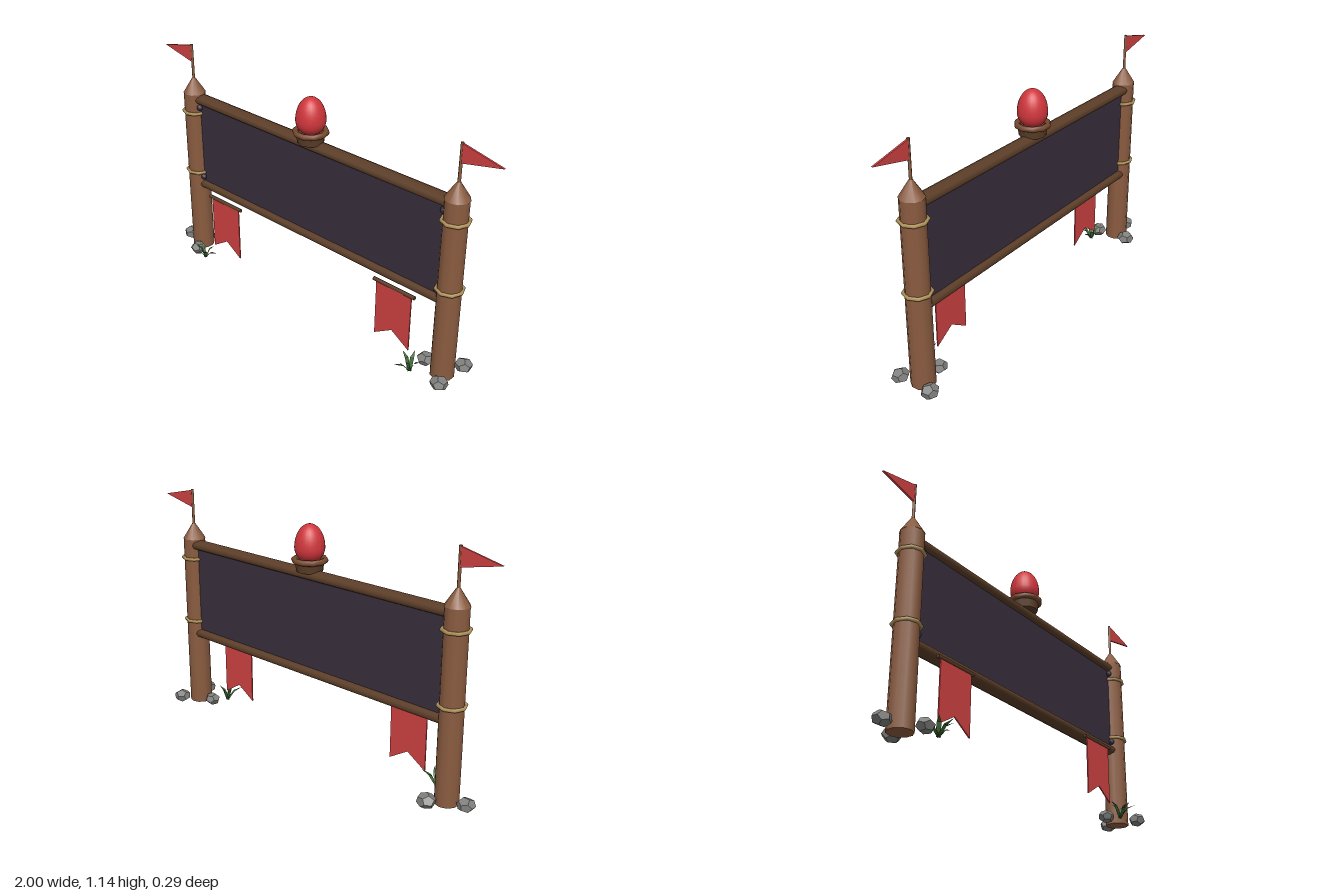
import * as THREE from 'three';

const mat = (name, color, extra = {}) => {
  const m = new THREE.MeshStandardMaterial({ color, ...extra });
  m.name = name;
  return m;
};

export function createModel() {
  const group = new THREE.Group();
  const wood = mat('post wood', 0x8b5c40);
  const darkWood = mat('rail wood', 0x5c3e28);
  const cupWood = mat('cup wood', 0x77492f);
  const cloth = mat('board cloth', 0x382e3c);
  const red = mat('red cloth', 0xd04242, { side: THREE.DoubleSide });
  const eggRed = mat('egg red', 0xd0363c);
  const rope = mat('rope', 0xb2935a);
  const stone = mat('stone', 0x80807e, { flatShading: true });
  const grass = mat('grass', 0x3f6a35, { side: THREE.DoubleSide, flatShading: true });
  const Z = -0.02;

  const add = (name, geometry, material, x = 0, y = 0, z = Z) => {
    const mesh = new THREE.Mesh(geometry, material);
    mesh.name = name;
    mesh.position.set(x, y, z);
    group.add(mesh);
    return mesh;
  };
  const plate = (points, depth) => {
    const shape = new THREE.Shape(points.map(p => new THREE.Vector2(...p)));
    return new THREE.ExtrudeGeometry(shape, { depth, bevelEnabled: false }).translate(0, 0, -depth / 2);
  };

  // Board and its two flattened log rails
  add('board', new THREE.BoxGeometry(1.54, 0.45, 0.03), cloth, 0, 0.632, -0.025);
  for (const [name, y] of [['topRail', 0.868], ['bottomRail', 0.398]]) {
    const rail = new THREE.CylinderGeometry(0.038, 0.038, 1.54, 10);
    rail.rotateZ(Math.PI / 2).scale(1, 0.65, 1);
    add(name, rail, darkWood, 0, y, -0.026);
  }

  // Egg in a ringed cup
  const egg = new THREE.SphereGeometry(0.07, 24, 18);
  const p = egg.attributes.position;
  for (let i = 0; i < p.count; i++) {
    const y = p.getY(i);
    p.setY(i, y * (y > 0 ? 1.55 : 1.0));
  }
  egg.computeVertexNormals();
  add('egg', egg, eggRed, 0, 0.992);
  add('cupBase', new THREE.CylinderGeometry(0.068, 0.062, 0.045, 10), darkWood, 0, 0.905);
  add('cupRing', new THREE.TorusGeometry(0.071, 0.014, 8, 10).rotateX(Math.PI / 2), cupWood, 0, 0.934);

  for (const s of [-1, 1]) {
    const x = 0.803 * s;
    // Post with pointed cap
    add('post', new THREE.CylinderGeometry(0.054, 0.056, 0.89, 10), wood, x, 0.455);
    add('postCap', new THREE.CylinderGeometry(0.008, 0.056, 0.075, 10), wood, x, 0.935);
    // Pole and outward pennant
    add('flagPole', new THREE.CylinderGeometry(0.007, 0.007, 0.19, 6), wood, x, 1.05);
    add('pennant', plate([[0, 1.142], [0.197 * s, 1.098], [0, 1.055]], 0.009), red, x);
    // Rope bindings
    for (const y of [0.798, 0.466])
      add('ropeRing', new THREE.TorusGeometry(0.06, 0.0085, 6, 8).rotateX(Math.PI / 2), rope, x, y);
    // Ties at the board corners
    for (const y of [0.83, 0.442])
      add('cornerTie', new THREE.SphereGeometry(0.017, 8, 6), cloth, 0.752 * s, y, -0.006);
    // Swallowtail banner on its rod
    add('banner', plate([[-0.098, 0.373], [0.098, 0.373], [0.098, 0.083], [0, 0.145], [-0.098, 0.083]], 0.006),
      red, 0.55 * s, 0, 0.03);
    add('bannerRod', new THREE.CylinderGeometry(0.009, 0.009, 0.23, 8).rotateZ(Math.PI / 2),
      darkWood, 0.55 * s, 0.372, 0.03);
  }

  // Stones around the post feet
  const stones = [
    [-0.902, -0.02, 1], [-0.757, -0.105, 1.05], [-0.752, 0.062, 1],
    [0.857, -0.105, 1], [0.85, 0.068, 1], [0.705, -0.025, 0.95],
  ];
  stones.forEach(([x, z, k], i) => {
    const g = new THREE.DodecahedronGeometry(0.043 * k, 0);
    g.rotateY(i * 1.3).rotateX(i * 0.7).scale(1, 0.76, 0.95);
    add('stone', g, stone, x, 0.036, z);
  });

  // Grass tufts: each blade is a bent tapering strip
  const tufts = [
    [-0.685, 0.07, [[0.08, -0.005, 0.055], [0, 0.072, 0.06], [-0.07, -0.02, 0.06], [0.03, -0.035, 0.065],
      [-0.035, 0.03, 0.075], [0.045, 0.04, 0.065]]],
    [0.687, 0.065, [[-0.055, -0.015, 0.078], [-0.035, 0.075, 0.06], [0.035, 0.07, 0.065], [0.05, -0.01, 0.07],
      [-0.012, -0.05, 0.08], [0.005, 0.04, 0.075]]],
  ];
  for (const [x, z, tips] of tufts)
    for (const [dx, dz, h] of tips) {
      const len = Math.hypot(dx, dz);
      const wx = -dz / len * 0.009, wz = dx / len * 0.009;
      const mx = dx * 0.45, mz = dz * 0.45, my = h * 0.75;
      const g = new THREE.BufferGeometry();
      g.setAttribute('position', new THREE.Float32BufferAttribute([
        -wx, 0, -wz, wx, 0, wz, mx + wx, my, mz + wz, mx - wx, my, mz - wz, dx, h, dz], 3));
      g.setIndex([0, 1, 2, 0, 2, 3, 3, 2, 4]);
      g.computeVertexNormals();
      add('grassBlade', g, grass, x, 0.008, z);
    }
  return group;
}
